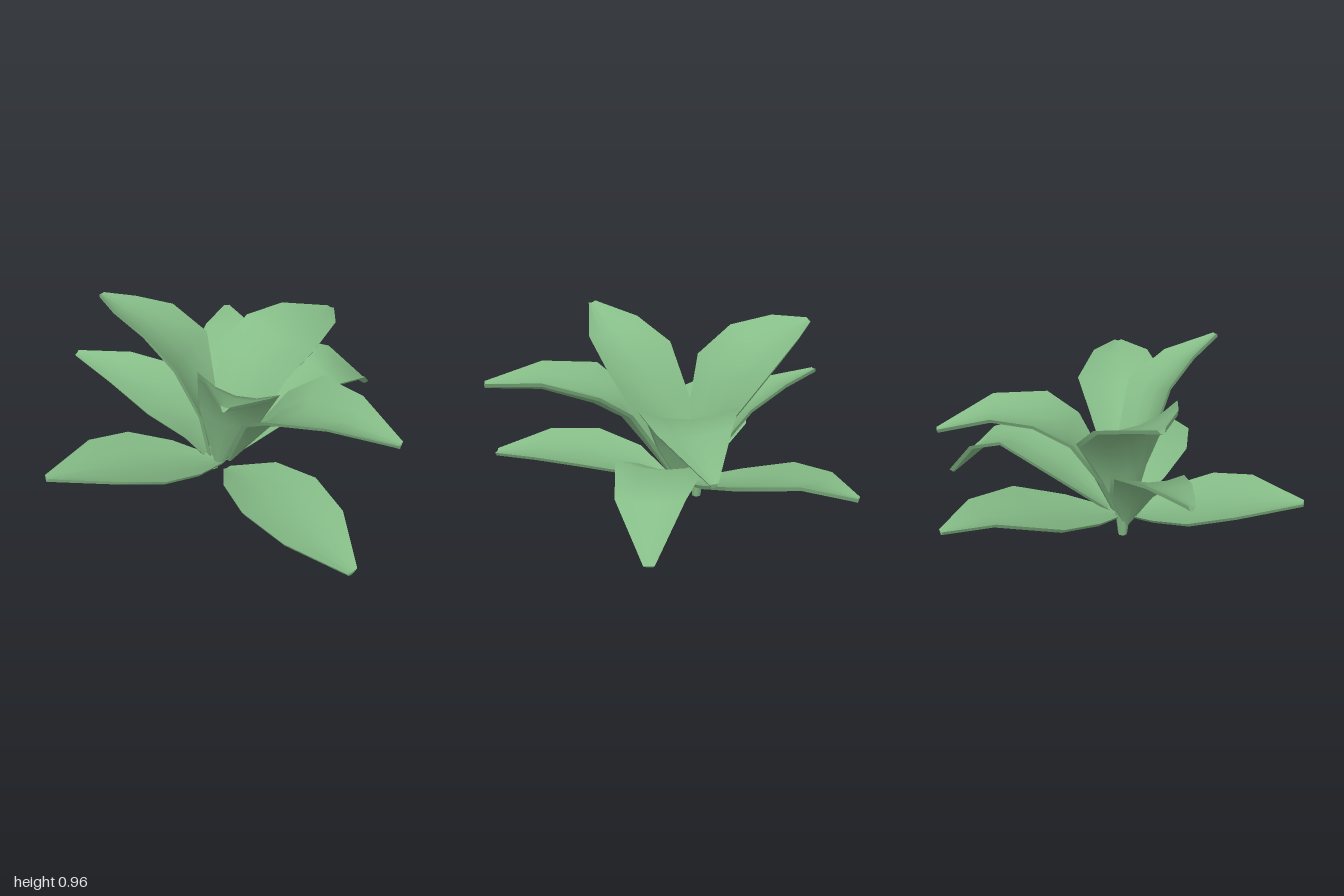
import * as THREE from 'three';

const green = new THREE.MeshStandardMaterial({ color: 0x86bd88, side: THREE.DoubleSide });
const ACROSS = [-1, -0.5, 0, 0.5, 1];
const THICK = 0.022;
const BEVEL = 0.012;

// Solid cupped leaf. Each spine row is [x, y, z, halfWidth], from base to tip.
// tilt rolls the blade around its spine, cup lifts its two edges.
function leafGeometry(rows, tilt, cup) {
  const spine = rows.map(r => new THREE.Vector3(r[0], r[1], r[2]));
  const last = spine.length - 1;
  const heading = spine[last].clone().sub(spine[0]).setY(0).normalize();
  const flatSide = heading.clone().cross(new THREE.Vector3(0, 1, 0));
  const top = [], bottom = [];
  spine.forEach((p, i) => {
    const tangent = spine[Math.min(i + 1, last)].clone().sub(spine[Math.max(i - 1, 0)]).normalize();
    const side = flatSide.clone().addScaledVector(tangent, -flatSide.dot(tangent)).normalize()
      .applyAxisAngle(tangent, -tilt);
    const normal = side.clone().cross(tangent).normalize();
    const w = rows[i][3];
    top.push(ACROSS.map(s => p.clone().addScaledVector(side, s * w)
      .addScaledVector(normal, cup * w * (s * s - 0.4))));
    // Underside is slightly narrower, so the rim faces outward and down
    bottom.push(top[i].map((v, j) => v.clone().addScaledVector(normal, -THICK)
      .addScaledVector(side, -ACROSS[j] * BEVEL)));
  });

  const positions = [], index = [];
  // Each strip has its own vertices, so rims stay sharp and blades smooth
  const addGrid = (grid) => {
    const start = positions.length / 3, n = grid[0].length;
    grid.flat().forEach(v => positions.push(v.x, v.y, v.z));
    for (let i = 0; i < grid.length - 1; i++) {
      for (let j = 0; j < n - 1; j++) {
        const a = start + i * n + j, b = a + 1, c = a + n, d = c + 1;
        index.push(a, b, c, b, d, c);
      }
    }
  };
  const right = ACROSS.length - 1;
  addGrid(top);
  addGrid(bottom.map(row => [...row].reverse()));
  addGrid(top.map((row, i) => [bottom[i][0], row[0]]));
  addGrid(top.map((row, i) => [row[right], bottom[i][right]]));
  addGrid([bottom[0], top[0]]);
  addGrid([top[last], bottom[last]]);

  const geometry = new THREE.BufferGeometry();
  geometry.setAttribute('position', new THREE.Float32BufferAttribute(positions, 3));
  geometry.setIndex(index);
  geometry.computeVertexNormals();
  return geometry;
}

export function createModel() {
  const plant = new THREE.Group();
  plant.name = 'plant';

  const addLeaf = (name, tilt, cup, ...rows) => {
    const leaf = new THREE.Mesh(leafGeometry(rows, tilt, cup), green);
    leaf.name = name;
    plant.add(leaf);
  };

  // Low outer leaves
  addLeaf('backLeaf', 0.08, 0.18, [0, 0.09, 0.08, 0.02], [0.03, 0.2, -0.2, 0.16],
    [0.05, 0.31, -0.48, 0.23], [0.08, 0.41, -0.78, 0.125], [0.09, 0.41, -1.0, 0.015]);
  addLeaf('frontLeftLowLeaf', 0, 0.2, [0.02, 0.08, 0.13, 0.02], [0.13, 0.18, 0.32, 0.16],
    [0.25, 0.23, 0.54, 0.22], [0.38, 0.235, 0.76, 0.18], [0.525, 0.19, 0.98, 0.03]);
  addLeaf('frontRightLowLeaf', -0.08, 0.2, [0, 0.09, 0.08, 0.02], [-0.2, 0.18, 0.17, 0.17],
    [-0.4, 0.255, 0.25, 0.245], [-0.6, 0.32, 0.34, 0.2], [-0.86, 0.36, 0.465, 0.02]);

  // Middle leaves
  addLeaf('leftMiddleLeaf', -0.08, 0.2, [0.03, 0.09, 0.05, 0.02], [0.27, 0.34, -0.1, 0.19],
    [0.52, 0.49, -0.22, 0.22], [0.7, 0.42, -0.31, 0.16], [0.86, 0.22, -0.435, 0.025]);
  addLeaf('rightMiddleLeaf', 0.18, 0.2, [-0.05, 0.06, 0.04, 0.02], [-0.14, 0.28, 0, 0.12],
    [-0.3, 0.465, -0.05, 0.19], [-0.52, 0.55, -0.15, 0.12], [-0.75, 0.59, -0.25, 0.02]);
  addLeaf('backLeftLeaf', 0, 0.2, [0.03, 0.09, 0.06, 0.02], [0.09, 0.36, -0.02, 0.16],
    [0.18, 0.58, -0.12, 0.225], [0.32, 0.675, -0.22, 0.235], [0.49, 0.69, -0.39, 0.17],
    [0.66, 0.6, -0.625, 0.02]);

  // Upright inner leaves
  addLeaf('frontLeftHighLeaf', 0, 0.35, [0.03, 0.09, 0.06, 0.02], [0.14, 0.37, 0.2, 0.11],
    [0.22, 0.55, 0.28, 0.18], [0.33, 0.66, 0.38, 0.24], [0.52, 0.73, 0.56, 0.155],
    [0.73, 0.72, 0.745, 0.02]);
  addLeaf('frontHighLeaf', 0.3, 0.3, [-0.02, 0.09, 0.08, 0.03], [0.02, 0.46, 0.19, 0.16],
    [0.05, 0.74, 0.34, 0.2], [0.03, 0.86, 0.53, 0.15], [-0.03, 0.955, 0.74, 0.02]);
  addLeaf('rightHighLeaf', -0.25, 0.22, [-0.05, 0.06, 0.04, 0.02], [-0.08, 0.4, 0, 0.14],
    [-0.17, 0.68, -0.08, 0.25], [-0.32, 0.82, -0.15, 0.22], [-0.48, 0.885, -0.22, 0.13],
    [-0.595, 0.92, -0.29, 0.02]);

  // Short stem joining the leaf bases
  const stem = new THREE.Mesh(new THREE.CylinderGeometry(0.045, 0.025, 0.16, 6), green);
  stem.name = 'stem';
  stem.position.set(-0.045, 0.08, 0.025);
  plant.add(stem);

  return plant;
}
